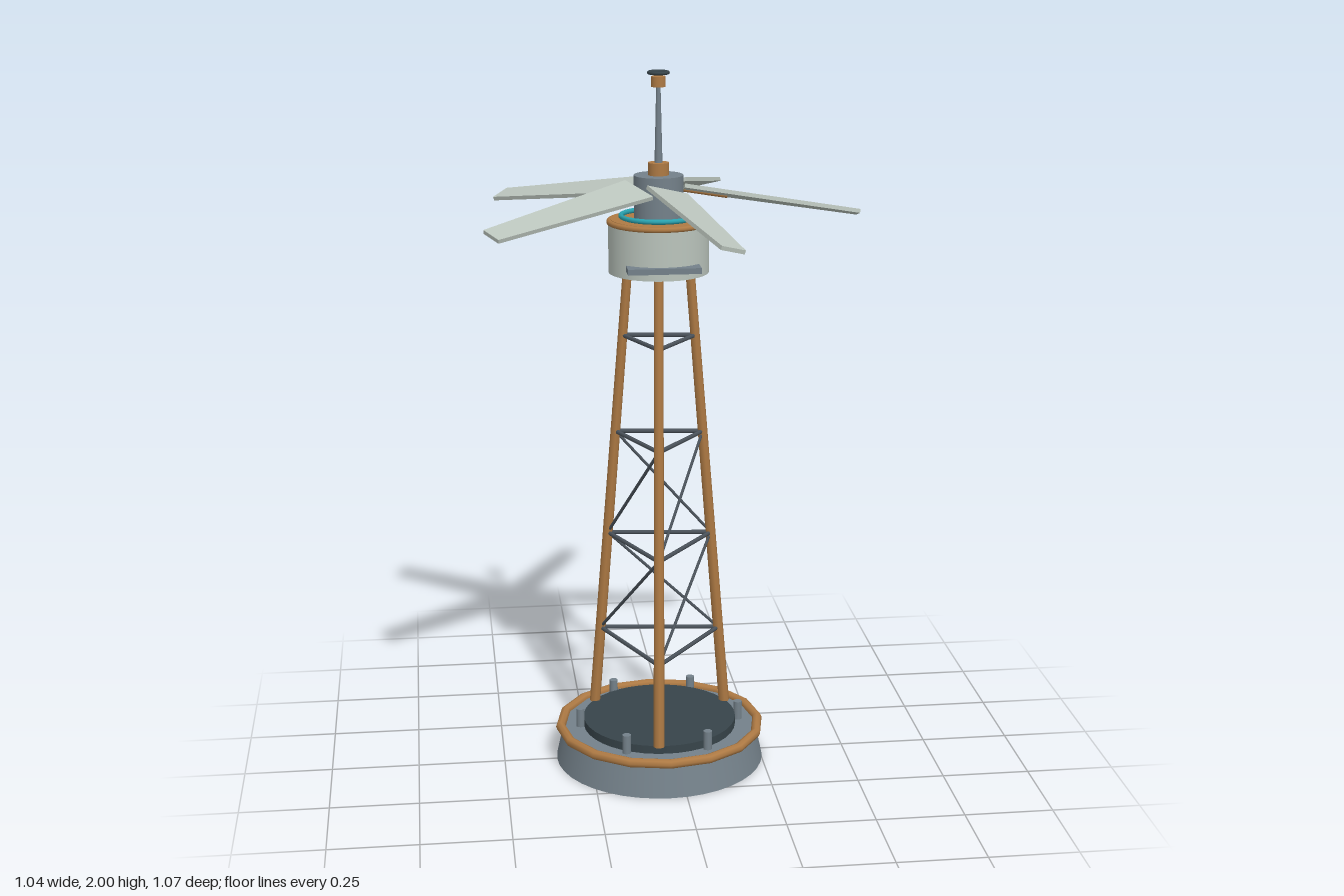
import * as THREE from 'three';

const mat = (name, color, extra = {}) => {
  const m = new THREE.MeshStandardMaterial({ color, ...extra });
  m.name = name;
  return m;
};

export function createModel() {
  const slate = mat('slate', 0x74818a);
  const dark = mat('darkSteel', 0x37444a);
  const steel = mat('braceSteel', 0x4c545c);
  const copper = mat('copper', 0xae7a44);
  const pale = mat('paleMetal', 0xbac4bc);
  const teal = mat('teal', 0x2aa3b0);

  const root = new THREE.Group();
  root.name = 'windTower';
  const tower = new THREE.Group();
  tower.name = 'tower';
  tower.position.x = -0.045;
  root.add(tower);

  const add = (name, geo, material, parent = tower) => {
    const mesh = new THREE.Mesh(geo, material);
    mesh.name = name;
    parent.add(mesh);
    return mesh;
  };
  // upright cylinder between two heights
  const drum = (name, y0, y1, r0, r1, material, sides = 40) => {
    const mesh = add(name, new THREE.CylinderGeometry(r1, r0, y1 - y0, sides), material);
    mesh.position.y = (y0 + y1) / 2;
    return mesh;
  };
  const ring = (name, y, r, tube, material, sides = 40) => {
    const mesh = add(name, new THREE.TorusGeometry(r, tube, 8, sides).rotateX(Math.PI / 2), material);
    mesh.position.y = y;
    return mesh;
  };
  // straight round bar between two points
  const bar = (name, a, b, r0, r1, material, parent = tower, sides = 8) => {
    const dir = b.clone().sub(a);
    const mesh = add(name, new THREE.CylinderGeometry(r1, r0, dir.length(), sides), material, parent);
    mesh.position.copy(a).add(b).multiplyScalar(0.5);
    mesh.quaternion.setFromUnitVectors(new THREE.Vector3(0, 1, 0), dir.normalize());
    return mesh;
  };

  // Base with rim, deck and bolts
  drum('base', 0, 0.1, 0.302, 0.28, slate);
  ring('baseRim', 0.1, 0.29, 0.014, copper, 16);
  drum('deck', 0.09, 0.124, 0.222, 0.222, dark);
  for (let i = 0; i < 6; i++) {
    const a = (i * Math.PI) / 3;
    const bolt = drum('bolt', 0.09, 0.155, 0.0125, 0.0125, slate, 10);
    bolt.position.x = 0.232 * Math.cos(a);
    bolt.position.z = 0.232 * Math.sin(a);
  }

  // Three leaning legs with lattice bracing
  const legPoint = (i, y) => {
    const a = THREE.MathUtils.degToRad(-23.4 + 120 * i);
    const r = 0.222 - (0.122 * (y - 0.12)) / 1.33;
    return new THREE.Vector3(r * Math.cos(a), y, r * Math.sin(a));
  };
  const levels = [0.36, 0.66, 0.97, 1.255];
  for (let i = 0; i < 3; i++) {
    bar('leg', legPoint(i, 0.122), legPoint(i, 1.46), 0.0155, 0.013, copper);
    levels.forEach((y, k) => {
      bar('crossBrace', legPoint(i, y), legPoint(i + 1, y), 0.006, 0.006, steel, tower, 6);
      if (k < 2) {
        bar('diagonalBrace', legPoint(i + 1, y), legPoint(i, levels[k + 1]), 0.0045, 0.0045, steel, tower, 6);
      }
    });
  }

  // Housing under the rotor
  drum('housing', 1.45, 1.588, 0.139, 0.139, pale);
  drum('housingCap', 1.586, 1.598, 0.136, 0.132, copper);
  ring('housingRim', 1.59, 0.136, 0.008, copper, 32);
  ring('glowRing', 1.606, 0.104, 0.007, teal, 32);
  const ledge = add('ledge', new THREE.BoxGeometry(0.2, 0.016, 0.055), slate);
  ledge.position.set(0, 1.48, 0.126);

  // Hub, mast and finial
  drum('hub', 1.597, 1.718, 0.068, 0.068, slate, 32);
  drum('mastCollar', 1.718, 1.752, 0.029, 0.029, copper, 20);
  drum('mast', 1.75, 1.96, 0.011, 0.006, slate, 12);
  drum('finial', 1.957, 1.985, 0.02, 0.02, copper, 20);
  ring('finialRing', 1.995, 0.026, 0.005, dark, 24);

  // Five drooping, pitched, tapered blades on short arms
  const outline = new THREE.Shape([
    new THREE.Vector2(0.068, -0.061),
    new THREE.Vector2(0.556, -0.034),
    new THREE.Vector2(0.556, 0.034),
    new THREE.Vector2(0.068, 0.061),
  ]);
  const bladeGeo = new THREE.ExtrudeGeometry(outline, { depth: 0.011, bevelEnabled: false });
  bladeGeo.translate(0, 0, -0.0055).rotateX(-Math.PI / 2); // lies flat, length along +x
  bladeGeo.rotateX(THREE.MathUtils.degToRad(14)); // pitch
  bladeGeo.rotateZ(THREE.MathUtils.degToRad(-9.5)); // droop
  for (let i = 0; i < 5; i++) {
    const arm = new THREE.Group();
    arm.name = 'rotorArm';
    arm.position.y = 1.693;
    arm.rotation.y = (i * Math.PI * 2) / 5;
    tower.add(arm);
    add('blade', bladeGeo, pale, arm).rotation.x = THREE.MathUtils.degToRad(-28);
    bar('bladeArm', new THREE.Vector3(0.05, -0.013, 0), new THREE.Vector3(0.19, -0.036, 0), 0.007, 0.007, copper, arm);
  }
  return root;
}
